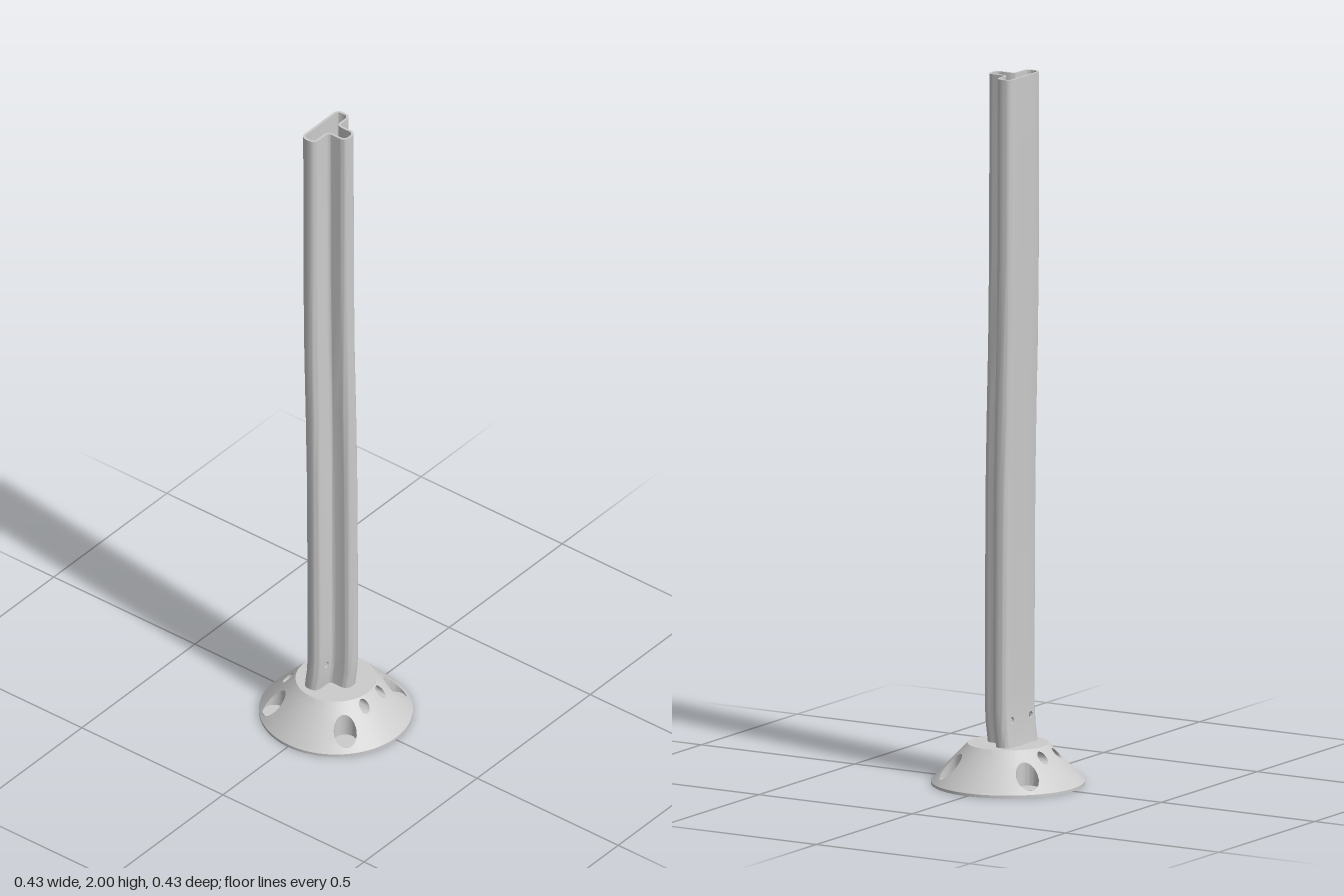
import * as THREE from 'three';
import { toCreasedNormals } from 'three/addons/utils/BufferGeometryUtils.js';

const V = (x, y, z) => new THREE.Vector3(x, y, z);
const material = new THREE.MeshStandardMaterial({ color: 0xcccccc });

// Triangle collector
class Surface {
  constructor() { this.p = []; }
  quad(a, b, c, d) {
    for (const t of [[a, b, c], [a, c, d]]) {
      if (t[0].equals(t[1]) || t[1].equals(t[2]) || t[0].equals(t[2])) continue;
      t.forEach((v) => this.p.push(v.x, v.y, v.z));
    }
  }
  // closed band between two loops
  strip(A, B) {
    A.forEach((a, i) => {
      const j = (i + 1) % A.length;
      this.quad(a, A[j], B[j], B[i]);
    });
  }
  // rectangle in (u, v) with a hole; returns the rim loop
  patch(map, u0, u1, v0, v1, uc, vc, su, rim, nu, nv, rings) {
    const edge = [];
    for (let i = 0; i < nu; i++) edge.push([u0 + (u1 - u0) * i / nu, v0]);
    for (let i = 0; i < nv; i++) edge.push([u1, v0 + (v1 - v0) * i / nv]);
    for (let i = 0; i < nu; i++) edge.push([u1 + (u0 - u1) * i / nu, v1]);
    for (let i = 0; i < nv; i++) edge.push([u0, v1 + (v0 - v1) * i / nv]);
    const hole = edge.map(([u, v]) => rim(Math.atan2(v - vc, (u - uc) * su)));
    let prev = null;
    for (let k = 0; k <= rings; k++) {
      const t = k / rings;
      const loop = edge.map(([u, v], i) => map(u + (hole[i][0] - u) * t, v + (hole[i][1] - v) * t));
      if (prev) this.strip(prev, loop);
      prev = loop;
    }
    return prev;
  }
  mesh(name) {
    const g = new THREE.BufferGeometry();
    g.setAttribute('position', new THREE.Float32BufferAttribute(this.p, 3));
    const m = new THREE.Mesh(toCreasedNormals(g, 0.6), material);
    m.name = name;
    return m;
  }
}

// Base dimensions
const R0 = 0.213, R1 = 0.112, Y0 = 0.008, Y1 = 0.115;
const coneY = (r) => Y0 + (Y1 - Y0) * (R0 - r) / (R0 - R1);

function lathe(name, points) {
  const g = new THREE.LatheGeometry(points.map(([x, y]) => new THREE.Vector2(x, y)), 96);
  const m = new THREE.Mesh(toCreasedNormals(g, 0.6), material);
  m.name = name;
  return m;
}

function createBase() {
  const group = new THREE.Group();
  group.name = 'base';
  const s = new Surface();
  // x, z, radius of the sockets: large ones sink down, small ones run inward
  const sockets = [
    [-0.13, -0.115, 0.032], [0.11, -0.132, 0.032], [-0.115, 0.125, 0.032], [0.127, 0.108, 0.032],
    [-0.053, -0.127, 0.015], [0.03, -0.132, 0.015], [-0.033, 0.127, 0.015], [0.045, 0.121, 0.015],
  ].map(([x, z, r]) => {
    const a = Math.atan2(x, z);
    return { r, z, a: a < 0 ? a + 2 * Math.PI : a, d: Math.hypot(x, z) };
  }).sort((p, q) => p.a - q.a);

  const map = (u, v) => V(-v * Math.sin(u), coneY(-v), -v * Math.cos(u));
  const n = sockets.length;
  sockets.forEach((h, i) => {
    const before = sockets[(i + n - 1) % n].a - (i === 0 ? 2 * Math.PI : 0);
    const after = sockets[(i + 1) % n].a + (i === n - 1 ? 2 * Math.PI : 0);
    const rim = (a) => {
      const t = h.r * Math.cos(a), q = h.d - h.r * Math.sin(a);
      return [h.a + Math.atan2(t, q), -Math.hypot(t, q)];
    };
    const loop = s.patch(map, (before + h.a) / 2, (after + h.a) / 2, -R0, -R1, h.a, -h.d, h.d, rim, 14, 6, 4);
    const big = h.r > 0.02;
    const floor = loop.map((p) => (big ? V(p.x, 0.02, p.z) : V(p.x, p.y, Math.sign(h.z) * 0.095)));
    const mid = floor.reduce((c, p) => c.add(p), V(0, 0, 0)).divideScalar(floor.length);
    s.strip(loop, floor);
    s.strip(floor, floor.map(() => mid));
  });
  group.add(s.mesh('slopedSideWithSockets'));
  group.add(lathe('underside', [[0, 0], [R0, 0], [R0, Y0]]));
  group.add(lathe('topPlate', [[R1, Y1], [0, Y1]]));
  return group;
}

// Rounded T outline, inset by t
function outline(t) {
  const L = -0.092 + t, R = 0.073 - t, B = -0.055 + t, F = -0.005 - t;
  const l = -0.03 + t, r = 0.02 - t, S = 0.055 - t;
  const corners = [[L, B], [L, F], [l, F], [l, S], [r, S], [r, F], [R, F], [R, B]];
  const pts = [];
  corners.forEach(([x, z], i) => {
    const a = corners[(i + 7) % 8], b = corners[(i + 1) % 8];
    const rad = i === 2 || i === 5 ? 0.01 + t : 0.02 - t;
    const d0 = [Math.sign(a[0] - x), Math.sign(a[1] - z)];
    const d1 = [Math.sign(b[0] - x), Math.sign(b[1] - z)];
    for (let k = 0; k <= 6; k++) {
      const w = k / 6 * Math.PI / 2, p = 1 - Math.sin(w), q = 1 - Math.cos(w);
      pts.push([x + rad * (d0[0] * p + d1[0] * q), z + rad * (d0[1] * p + d1[1] * q)]);
    }
  });
  pts.push([0.03, B], [-0.04, B]);
  return pts;
}

function createPost() {
  const s = new Surface();
  // height, sideways drift, forward drift
  const rows = [
    [0.115, 0.005, 0.004], [0.165, 0.006, 0.01], [0.215, 0.006, 0.013], [0.3, 0.005, 0.014],
    [0.6, 0.003, 0.014], [0.85, 0.002, 0.013], [1.05, 0.001, 0.01], [1.25, 0, 0.006],
    [1.5, 0, 0.003], [2, 0, 0.002],
  ];
  const holed = [13, 41, 55, 57]; // outline segments pierced by screw holes
  const wall = (t, inside) => {
    const pts = outline(t);
    const loops = rows.map(([y, dx, dz]) => pts.map(([x, z]) => V(x + dx, y, z + dz)));
    const rims = [];
    for (let k = 0; k + 1 < loops.length; k++) {
      pts.forEach((_, i) => {
        const j = (i + 1) % pts.length;
        const [a, b, c, d] = [loops[k][i], loops[k][j], loops[k + 1][j], loops[k + 1][i]];
        if (k === 1 && holed.includes(i)) {
          const w = Math.abs(b.x - a.x), h = d.y - a.y, r = 0.0095;
          const map = (u, v) => a.clone().lerp(b, u).lerp(d.clone().lerp(c, u), v);
          const rim = (q) => [0.5 + r / w * Math.cos(q), 0.5 + r / h * Math.sin(q)];
          const part = new Surface();
          rims.push(part.patch(map, 0, 1, 0, 1, 0.5, 0.5, 1, rim, 6, 6, 1));
          // turn the inner faces round
          for (let n = 0; n < part.p.length; n += 9) {
            const f = [0, 3, 6].map((o) => part.p.slice(n + o, n + o + 3));
            if (inside) f.reverse();
            s.p.push(...f.flat());
          }
        } else if (inside) s.quad(a, d, c, b);
        else s.quad(a, b, c, d);
      });
    }
    return { top: loops[loops.length - 1], rims };
  };
  const outer = wall(0, false), inner = wall(0.007, true);
  s.strip(outer.top, inner.top);
  outer.rims.forEach((r, i) => s.strip(r, inner.rims[i]));
  return s.mesh('hollowPost');
}

export function createModel() {
  const model = new THREE.Group();
  model.name = 'postOnBase';
  model.add(createBase(), createPost());
  return model;
}
